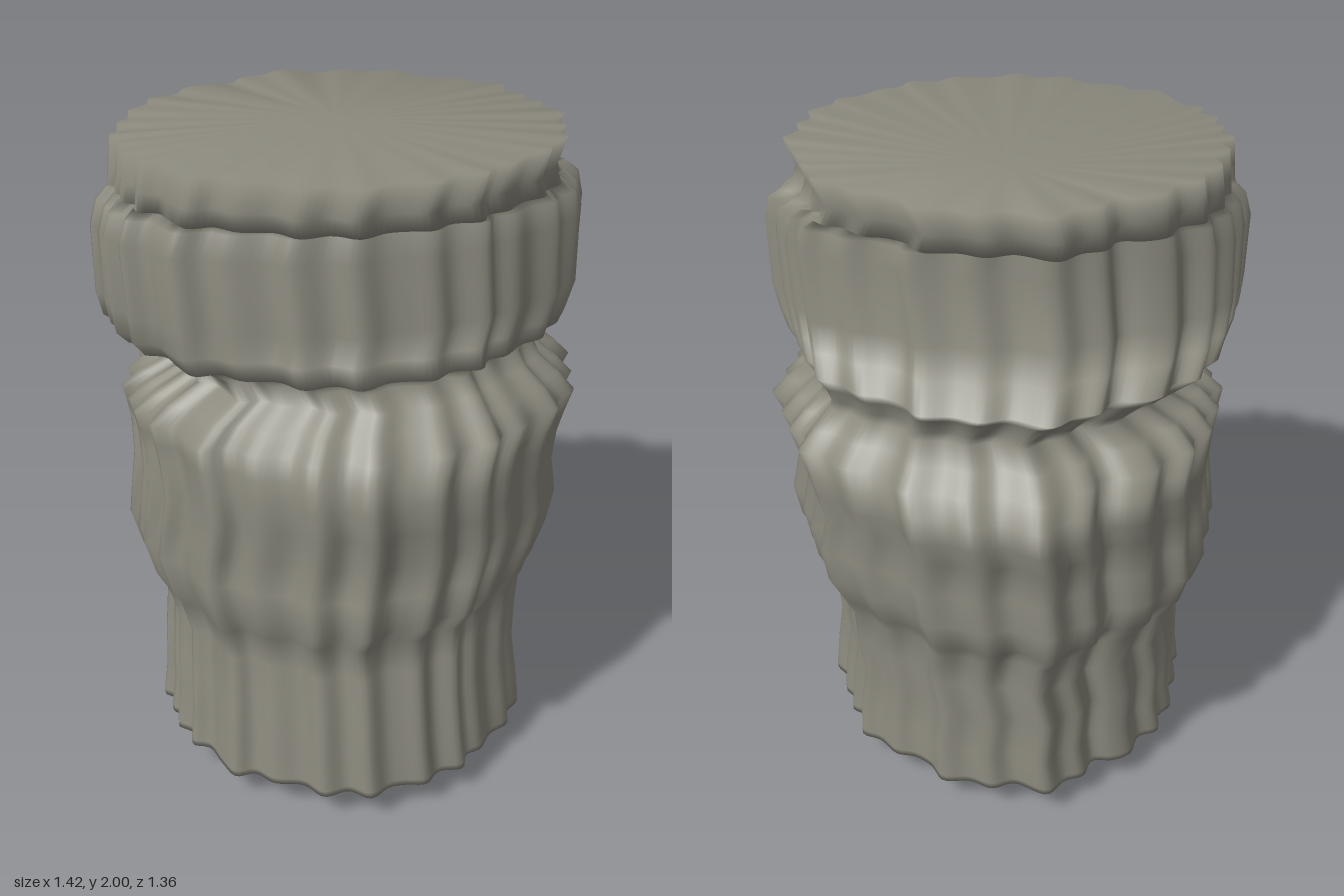
import * as THREE from 'three';

// Cross-sections from base to crown: height, left-hand and right-hand x, back z, front z
const SECTIONS = [
  [0.03, -0.37, 0.36, -0.36, 0.38],
  [0.10, -0.595, 0.58, -0.57, 0.675],
  [0.12, -0.595, 0.58, -0.57, 0.675],
  [0.22, -0.58, 0.57, -0.56, 0.66],
  [0.36, -0.575, 0.55, -0.555, 0.645],
  [0.50, -0.56, 0.56, -0.565, 0.62],
  [0.60, -0.59, 0.57, -0.555, 0.61],
  [0.68, -0.63, 0.60, -0.62, 0.67],
  [0.78, -0.66, 0.65, -0.64, 0.65],
  [0.88, -0.65, 0.67, -0.62, 0.64],
  [1.00, -0.635, 0.645, -0.635, 0.67],
  [1.10, -0.635, 0.66, -0.68, 0.675],
  [1.16, -0.645, 0.68, -0.65, 0.66],
  [1.22, -0.66, 0.71, -0.60, 0.625],
  [1.27, -0.60, 0.66, -0.53, 0.57],
  [1.32, -0.50, 0.60, -0.47, 0.51],
  [1.36, -0.53, 0.59, -0.49, 0.46],
  [1.40, -0.60, 0.61, -0.50, 0.48],
  [1.44, -0.66, 0.645, -0.55, 0.59],
  [1.48, -0.695, 0.665, -0.42, 0.54],
  [1.56, -0.71, 0.685, -0.365, 0.53],
  [1.76, -0.71, 0.69, -0.345, 0.51],
  [1.83, -0.69, 0.675, -0.34, 0.50],
  [1.86, -0.66, 0.635, -0.34, 0.48],
  [1.87, -0.655, 0.61, -0.44, 0.60],
  [1.92, -0.65, 0.59, -0.445, 0.605],
  [2.00, -0.64, 0.62, -0.46, 0.605],
];
const SIDES = 240;

// Fluted plan outline shared by every section, as x, z pairs running front, left, back, right
const OUTLINE = [
  -0.04, 0.69, 0.04, 0.65, 0.10, 0.65, 0.17, 0.66, 0.23, 0.61, 0.32, 0.61, 0.35, 0.55, 0.41, 0.53,
  0.47, 0.46, 0.55, 0.42, 0.56, 0.37, 0.63, 0.30, 0.62, 0.22, 0.66, 0.17, 0.64, 0.11, 0.69, 0.03,
  0.64, -0.05, 0.65, -0.11, 0.61, -0.17, 0.62, -0.22, 0.57, -0.26, 0.58, -0.35, 0.51, -0.39, 0.45, -0.46,
  0.38, -0.48, 0.32, -0.53, 0.28, -0.60, 0.18, -0.61, 0.10, -0.65, 0.02, -0.63, -0.10, -0.69, -0.17, -0.63,
  -0.24, -0.61, -0.28, -0.54, -0.36, -0.54, -0.43, -0.51, -0.47, -0.43, -0.55, -0.40, -0.56, -0.33, -0.62, -0.27,
  -0.61, -0.19, -0.66, -0.13, -0.64, -0.05, -0.69, 0.00, -0.64, 0.05, -0.67, 0.10, -0.64, 0.14, -0.66, 0.19,
  -0.61, 0.24, -0.62, 0.30, -0.56, 0.33, -0.53, 0.41, -0.49, 0.49, -0.42, 0.49, -0.36, 0.55, -0.26, 0.58,
  -0.20, 0.65, -0.11, 0.64,
];

function unitOutline() {
  const points = [];
  for (let i = 0; i < OUTLINE.length; i += 2) {
    points.push(new THREE.Vector3(OUTLINE[i], 0, OUTLINE[i + 1]).divideScalar(0.69));
  }
  return new THREE.CatmullRomCurve3(points, true).getSpacedPoints(SIDES).slice(0, SIDES);
}

function weatheredColumn() {
  const positions = [], index = [];
  const outline = unitOutline();
  for (const [y, x0, x1, z0, z1] of SECTIONS) {
    const cx = (x0 + x1) / 2, cz = (z0 + z1) / 2;
    // The flutes wander slightly around the column with height
    const turn = 0.012 * Math.sin(y * 9) + 0.01 * Math.sin(y * 21);
    const c = Math.cos(turn), s = Math.sin(turn);
    for (const p of outline) {
      positions.push(
        cx + (x1 - x0) / 2 * (p.x * c + p.z * s),
        y,
        cz + (z1 - z0) / 2 * (p.z * c - p.x * s));
    }
  }
  // Side walls
  for (let r = 0; r < SECTIONS.length - 1; r++) {
    for (let i = 0; i < SIDES; i++) {
      const a = r * SIDES + i, b = r * SIDES + (i + 1) % SIDES;
      index.push(a, b, b + SIDES, a, b + SIDES, a + SIDES);
    }
  }
  // Rounded underside and faintly dished crown, sharing the rim so the flutes fade inward
  const bottom = positions.length / 3, top = bottom + 1;
  positions.push(0, 0, -0.02, 0, 1.975, -0.04);
  const crown = (SECTIONS.length - 1) * SIDES;
  for (let i = 0; i < SIDES; i++) {
    const j = (i + 1) % SIDES;
    index.push(bottom, j, i, top, crown + i, crown + j);
  }
  const geometry = new THREE.BufferGeometry();
  geometry.setAttribute('position', new THREE.Float32BufferAttribute(positions, 3));
  geometry.setIndex(index);
  geometry.computeVertexNormals();
  return geometry;
}

export function createModel() {
  const stone = new THREE.MeshStandardMaterial({ color: 0x8c8a7e });
  stone.name = 'greyStone';
  const group = new THREE.Group();
  group.name = 'rockColumn';
  const column = new THREE.Mesh(weatheredColumn(), stone);
  column.name = 'weatheredColumn';
  group.add(column);
  return group;
}
